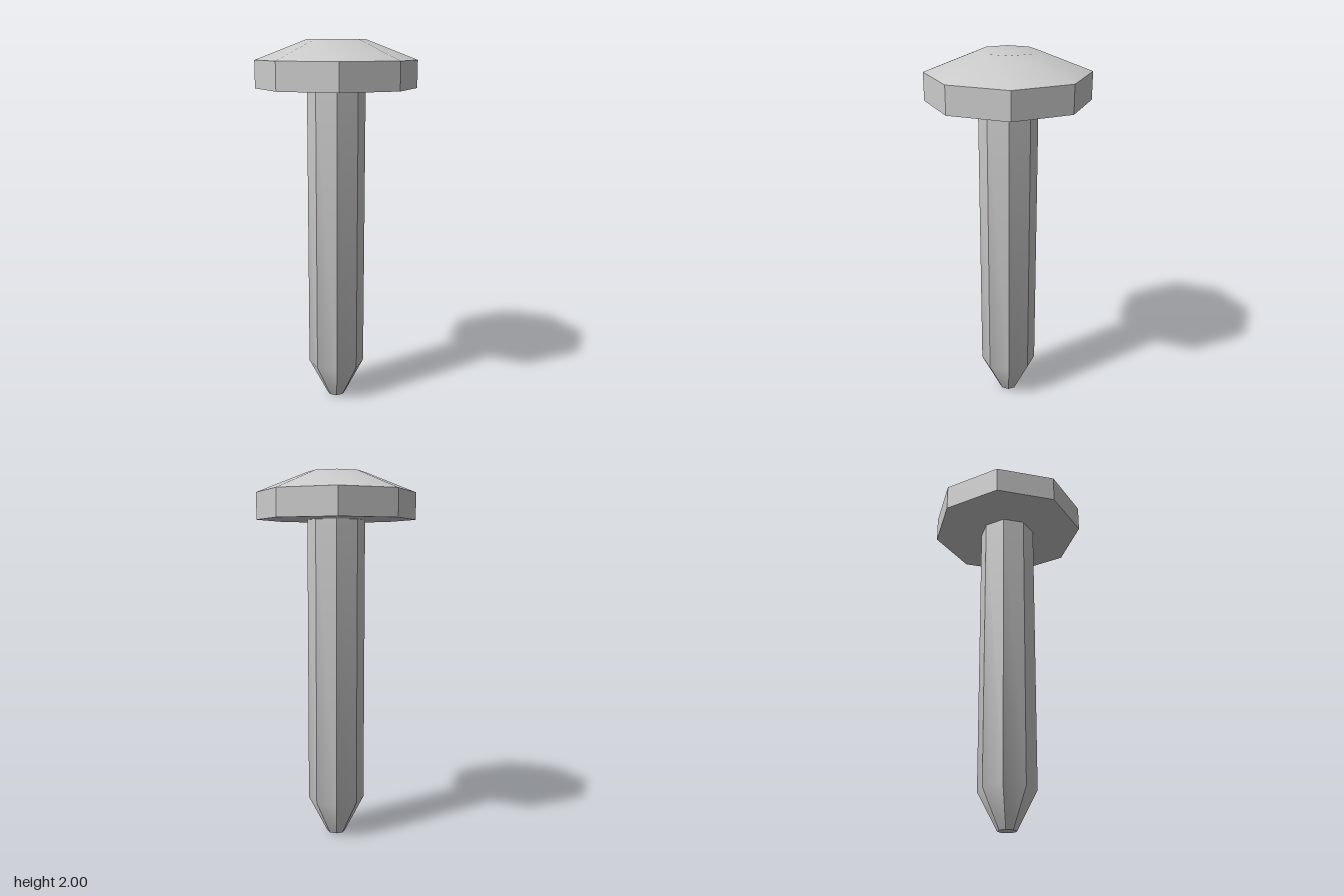
import * as THREE from 'three';
import { toCreasedNormals } from 'three/addons/utils/BufferGeometryUtils.js';

const SIDES = 8;
const SHAFT_RADIUS = 0.155;
const HEAD_RADIUS = 0.428;
const HEAD_BASE = 1.75;

// Eight-sided turned part; shallow edges stay smooth, steep ones are sharp.
function turned(name, profile, material) {
  const points = profile.map(([r, y]) => new THREE.Vector2(r, y));
  const geometry = toCreasedNormals(new THREE.LatheGeometry(points, SIDES), Math.PI / 6);
  const mesh = new THREE.Mesh(geometry, material);
  mesh.name = name;
  return mesh;
}

export function createModel() {
  const group = new THREE.Group();
  group.name = 'nail';
  const material = new THREE.MeshStandardMaterial({ color: 0xcccccc });

  // Straight shaft with a blunt tapered tip
  group.add(turned('shaft', [
    [0, 0], [0.05, 0], [SHAFT_RADIUS, 0.2], [SHAFT_RADIUS, HEAD_BASE],
  ], material));

  // Wide head: flat underside, upright rim, bevelled crown
  group.add(turned('head', [
    [SHAFT_RADIUS, HEAD_BASE], [HEAD_RADIUS, HEAD_BASE], [HEAD_RADIUS, 1.895],
    [SHAFT_RADIUS, 2], [0, 2],
  ], material));

  return group;
}
